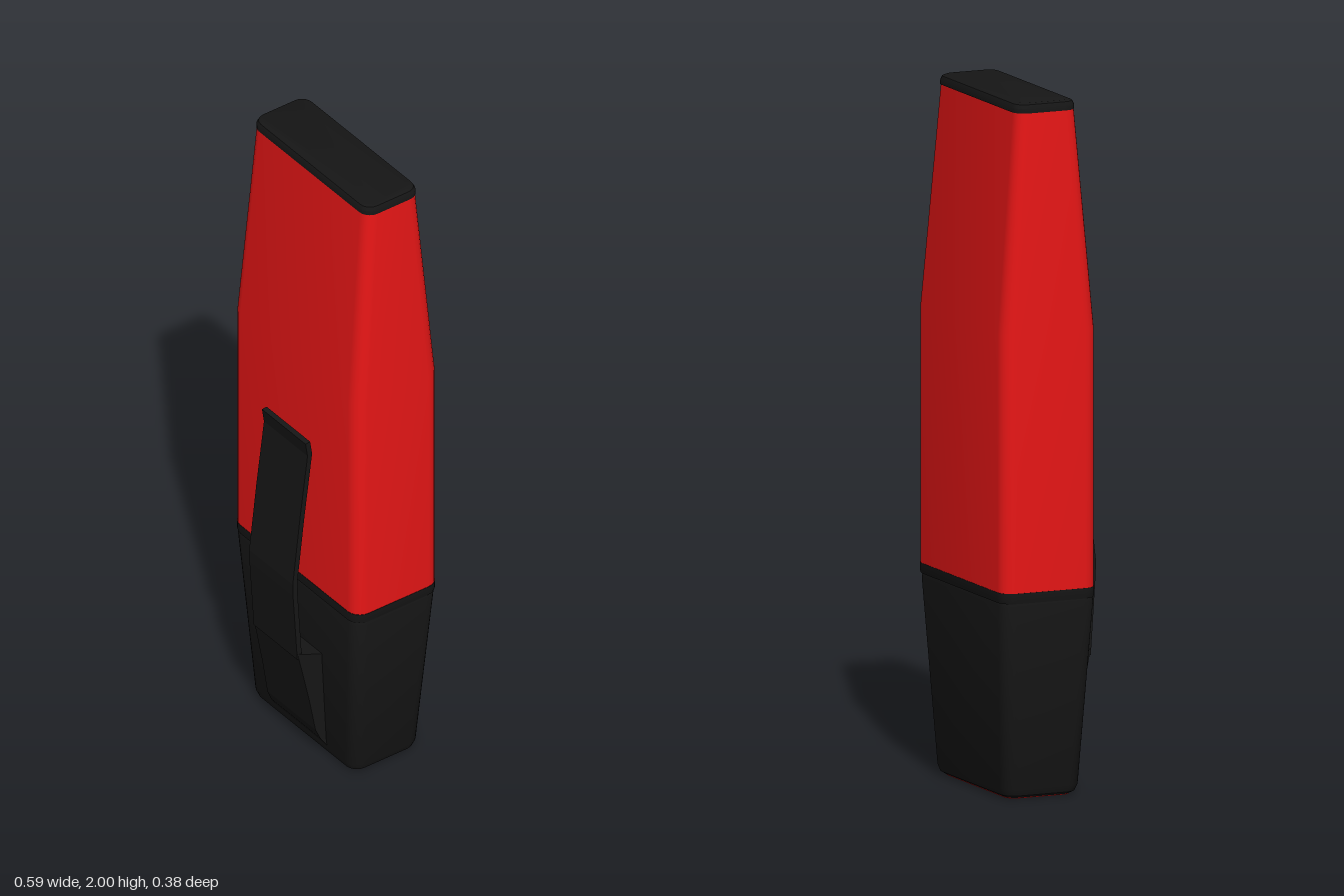
import * as THREE from 'three';
import { mergeVertices, toCreasedNormals } from 'three/addons/utils/BufferGeometryUtils.js';

const black = new THREE.MeshStandardMaterial({ color: 0x161616 });
const red = new THREE.MeshStandardMaterial({ color: 0xe81616 });

// Rounded rectangle ring at height y: half width, back z, front z, corner radius
function ring([y, hw, z0, z1, r], steps = 5) {
  const pts = [];
  const corners = [[hw - r, z1 - r], [r - hw, z1 - r], [r - hw, z0 + r], [hw - r, z0 + r]];
  corners.forEach(([cx, cz], k) => {
    for (let i = 0; i <= steps; i++) {
      const a = (k + i / steps) * Math.PI / 2;
      pts.push([cx + r * Math.cos(a), y, cz + r * Math.sin(a)]);
    }
  });
  return pts;
}

// Skin stacked rings, bottom to top, and close both ends
function loft(sections, creaseAngle = 0.5) {
  const rings = sections.map((s) => ring(s));
  const n = rings[0].length;
  const pos = rings.flat(2);
  const idx = [];
  for (let j = 0; j < rings.length - 1; j++) {
    for (let i = 0; i < n; i++) {
      const a = j * n + i, b = j * n + (i + 1) % n;
      idx.push(a, a + n, b, b, a + n, b + n);
    }
  }
  const top = (rings.length - 1) * n;
  for (let i = 1; i < n - 1; i++) {
    idx.push(0, i, i + 1, top, top + i + 1, top + i);
  }
  const g = new THREE.BufferGeometry();
  g.setAttribute('position', new THREE.Float32BufferAttribute(pos, 3));
  g.setIndex(idx);
  return toCreasedNormals(mergeVertices(g), creaseAngle);
}

// Side profile of [z, y] points, extruded across x
function sideExtrude(points, width) {
  const shape = new THREE.Shape(points.map(([z, y]) => new THREE.Vector2(z, y)));
  const g = new THREE.ExtrudeGeometry(shape, { depth: width, bevelEnabled: false, curveSegments: 6 });
  g.translate(0, 0, -width / 2);
  g.rotateY(-Math.PI / 2);
  return g;
}

export function createModel() {
  const model = new THREE.Group();
  const add = (name, geometry, material) => {
    const mesh = new THREE.Mesh(geometry, material);
    mesh.name = name;
    model.add(mesh);
    return mesh;
  };

  // Tapered lower cap with softened bottom edge and a narrow rim
  add('lowerCap', loft([
    [0.002, 0.222, -0.138, 0.058, 0.03],
    [0.01, 0.237, -0.152, 0.071, 0.037],
    [0.03, 0.245, -0.159, 0.079, 0.04],
    [0.56, 0.294, -0.186, 0.105, 0.042],
    [0.572, 0.292, -0.184, 0.103, 0.042],
  ]), black);
  add('capRim', loft([
    [0.572, 0.295, -0.188, 0.106, 0.042],
    [0.58, 0.297, -0.19, 0.107, 0.042],
    [0.602, 0.297, -0.19, 0.107, 0.042],
  ]), black);
  add('basePlate', loft([
    [0, 0.222, -0.138, 0.058, 0.03],
    [0.003, 0.222, -0.138, 0.058, 0.03],
  ]), red);

  // Main body: straight, then tapering to the top
  add('body', loft([
    [0.602, 0.296, -0.189, 0.106, 0.042],
    [1.34, 0.296, -0.189, 0.106, 0.042],
    [1.972, 0.273, -0.134, 0.052, 0.036],
  ], 0.4), red);

  // Thin end cap with a rounded upper edge
  add('topCap', loft([
    [1.972, 0.274, -0.136, 0.053, 0.037],
    [1.985, 0.274, -0.136, 0.053, 0.037],
    [1.996, 0.269, -0.131, 0.048, 0.034],
    [2, 0.26, -0.122, 0.039, 0.028],
  ]), black);

  // Clip mount: wedge that narrows away from the cap
  const mount = sideExtrude([
    [0.04, 0.04], [0.08, 0.04], [0.1, 0.07], [0.115, 0.105],
    [0.135, 0.22], [0.17, 0.388], [0.1, 0.367], [0.06, 0.367],
  ], 2);
  const p = mount.attributes.position;
  for (let i = 0; i < p.count; i++) {
    const hw = THREE.MathUtils.mapLinear(p.getZ(i), 0.08, 0.17, 0.12, 0.104);
    p.setX(i, p.getX(i) * Math.min(hw, 0.12));
  }
  mount.computeVertexNormals();
  add('clipMount', mount, black);

  // Springy clip strip, bent out then back toward the body
  const outer = [[0.171, 0.37], [0.186, 0.6], [0.187, 0.64], [0.162, 0.86], [0.135, 1.07], [0.142, 1.115]];
  const inner = outer.map(([z, y]) => [z - 0.016, y + 0.002]).reverse();
  add('clipStrip', sideExtrude([...outer, ...inner], 0.206), black);

  return model;
}
